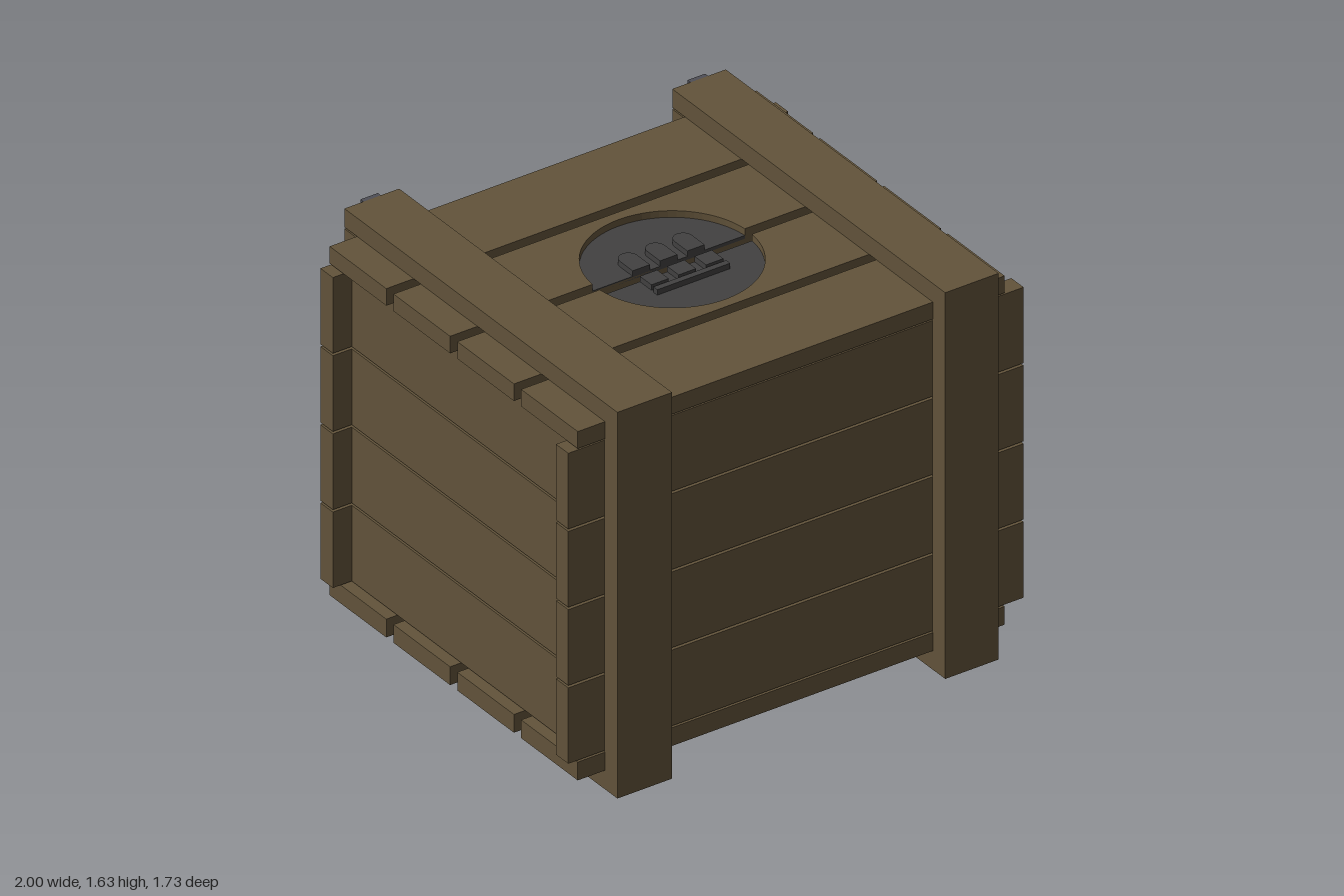
import * as THREE from 'three';

const wood = new THREE.MeshStandardMaterial({ color: 0x62533a });
const metal = new THREE.MeshStandardMaterial({ color: 0x4e4e55 });
const dark = new THREE.MeshStandardMaterial({ color: 0x424141 });

export function createModel() {
  const root = new THREE.Group();
  const cz = 0.01; // middle of the crate in depth

  const group = (name) => {
    const g = new THREE.Group();
    g.name = name;
    root.add(g);
    return g;
  };

  // box given by its limits on each axis
  const slab = (parent, name, material, [x0, x1], [y0, y1], [z0, z1]) => {
    const mesh = new THREE.Mesh(new THREE.BoxGeometry(x1 - x0, y1 - y0, z1 - z0), material);
    mesh.position.set((x0 + x1) / 2, (y0 + y1) / 2, (z0 + z1) / 2);
    mesh.name = name;
    parent.add(mesh);
  };

  // flat outline (x, -z) raised from y0 to y1
  const raise = (parent, name, material, points, y0, y1) => {
    const geo = new THREE.ExtrudeGeometry(new THREE.Shape(points), { depth: y1 - y0, bevelEnabled: false });
    geo.rotateX(-Math.PI / 2);
    const mesh = new THREE.Mesh(geo, material);
    mesh.position.set(0, y0, cz);
    mesh.name = name;
    parent.add(mesh);
  };
  const v2 = (x, y) => new THREE.Vector2(x, y);

  // four walls of four horizontal planks
  const walls = group('walls');
  for (let i = 0; i < 4; i++) {
    const y = [0.163 + i * 0.33, 0.163 + i * 0.33 + 0.32];
    slab(walls, 'frontPlank', wood, [-1, 1], y, [0.71, 0.787]);
    slab(walls, 'backPlank', wood, [-1, 1], y, [-0.77, -0.692]);
    slab(walls, 'leftPlank', wood, [0.84, 0.917], y, [-0.692, 0.71]);
    slab(walls, 'rightPlank', wood, [-0.917, -0.84], y, [-0.692, 0.71]);
  }

  // inner liner seen through the gaps
  slab(root, 'liner', metal, [-0.78, 0.78], [0.22, 1.42], [-0.62, 0.65]);

  // floor and lid planks; the two middle lid planks are thinner under the round recess
  const floor = group('floor');
  const lid = group('lid');
  const ends = [-0.96, 0.915];
  const half = 0.0225, width = 0.356;
  const lidBase = 1.48, recess = 1.52, lidTop = 1.552;
  for (let i = 0; i < 4; i++) {
    const z0 = cz - 0.7795 + i * (width + 2 * half);
    const z = [z0, z0 + width];
    slab(floor, 'floorPlank', wood, ends, [0.08, 0.157], z);
    const middle = i === 1 || i === 2;
    slab(lid, 'lidPlank', wood, ends, [lidBase, middle ? recess : lidTop], z);
  }

  // round recess, split by the centre gap, with a dark floor
  const R = 0.335, a0 = Math.asin(half / R);
  for (const s of [-1, 1]) {
    const arc = [];
    for (let i = 0; i <= 32; i++) {
      const t = Math.PI - a0 - (i / 32) * (Math.PI - 2 * a0);
      arc.push(v2(R * Math.cos(t), s * R * Math.sin(t)));
    }
    const far = s * (half + width);
    raise(lid, 'notchedLidPlank', wood,
      [v2(ends[0], s * half), ...arc, v2(ends[1], s * half), v2(ends[1], far), v2(ends[0], far)],
      recess, lidTop);
    raise(lid, 'recessFloor', dark, arc, recess - 0.01, recess + 0.004);
  }

  // raised relief: three round-topped pegs split by the gap, above a bar
  const relief = group('lidRelief');
  const r = 0.038, reliefTop = 1.547;
  for (const x of [-0.12, 0, 0.12]) {
    const tip = [];
    for (let i = 0; i <= 12; i++) {
      const t = (i / 12) * Math.PI;
      tip.push(v2(x + r * Math.cos(t), 0.104 + r * Math.sin(t)));
    }
    raise(relief, 'pegTip', dark, [v2(x - r, half), v2(x + r, half), ...tip], recess, reliefTop);
    slab(relief, 'pegBase', dark, [x - r, x + r], [recess, reliefTop], [cz + half, 0.105]);
  }
  slab(relief, 'reliefBar', dark, [-0.16, 0.16], [recess, reliefTop], [0.12, 0.145]);

  // two straps wrapped around the crate, each with a clip at the back
  for (const [side, x, clipX] of [
    ['left', [0.6, 0.835], [0.68, 0.757]],
    ['right', [-0.84, -0.6], [-0.757, -0.68]],
  ]) {
    const strap = group(side + 'Strap');
    slab(strap, 'topBatten', wood, x, [1.552, 1.63], [-0.848, 0.787]);
    slab(strap, 'bottomBatten', wood, x, [0, 0.08], [-0.77, 0.787]);
    slab(strap, 'frontPost', wood, x, [0, 1.63], [0.787, 0.867]);
    slab(strap, 'backPost', wood, x, [0, 1.545], [-0.848, -0.77]);
    slab(strap, 'clip', metal, clipX, [1.39, 1.63], [-0.867, -0.848]);
  }

  // plain plate on the back
  slab(root, 'backPlate', metal, [-0.28, 0.28], [0.91, 1.075], [-0.79, -0.77]);

  return root;
}
